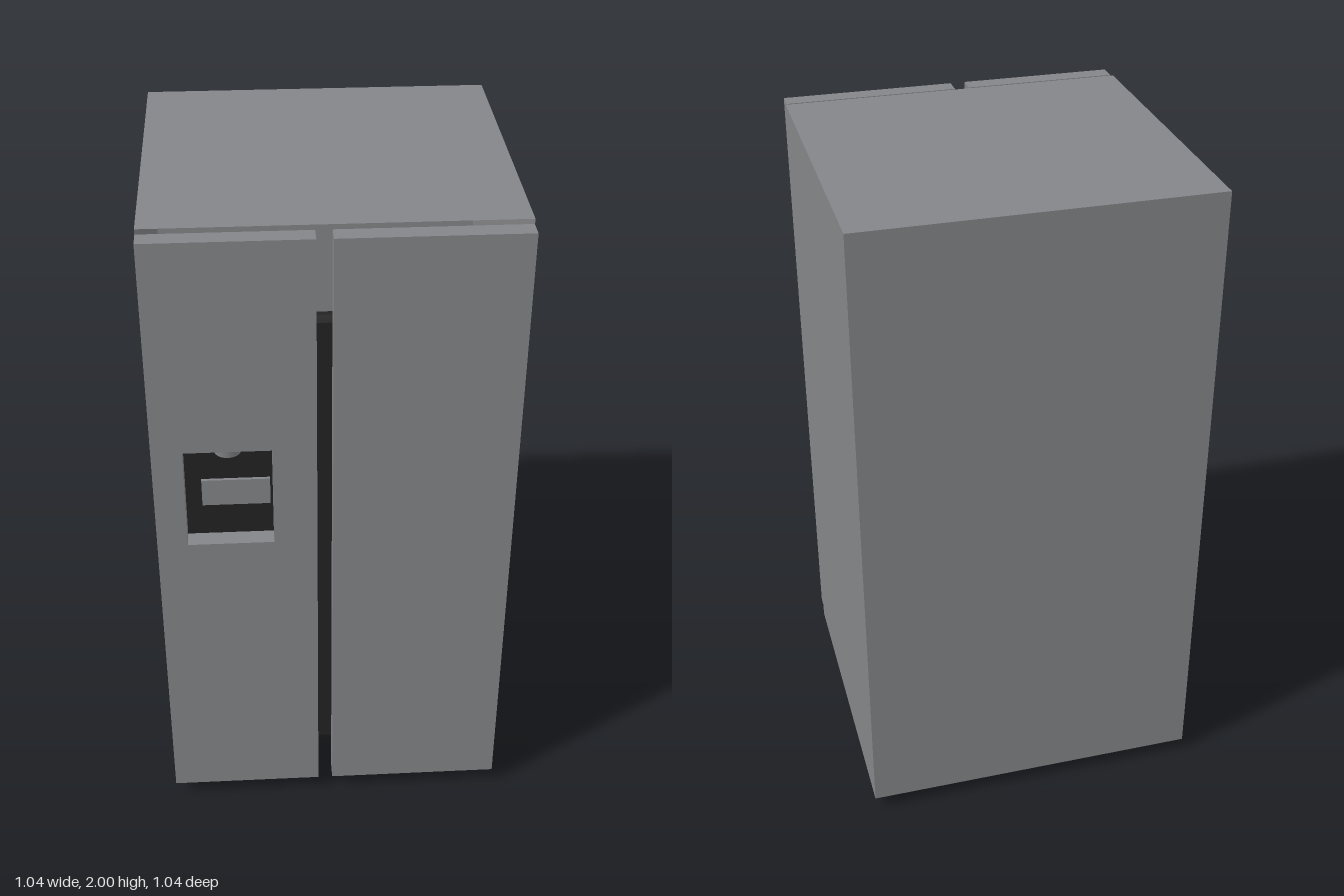
import * as THREE from 'three';

export function createModel() {
  const model = new THREE.Group();
  const grey = new THREE.MeshStandardMaterial({ color: 0x848588, side: THREE.DoubleSide });
  grey.name = 'steel grey';
  const black = new THREE.MeshStandardMaterial({ color: 0x222322 });
  black.name = 'liner black';

  const add = (name, geometry, material, parent = model) => {
    const mesh = new THREE.Mesh(geometry, material);
    mesh.name = name;
    parent.add(mesh);
    return mesh;
  };
  const rectangle = (Type, x0, x1, y0, y1) => {
    const path = new Type();
    path.moveTo(x0, y0);
    path.lineTo(x1, y0);
    path.lineTo(x1, y1);
    path.lineTo(x0, y1);
    path.closePath();
    return path;
  };

  // Cabinet shell, open at the front and underneath
  const cabinet = new THREE.Group();
  cabinet.name = 'cabinet';
  model.add(cabinet);
  const X = 0.52, bottom = 0.045, top = 2, back = -0.52, front = 0.445;
  const H = top - bottom, D = front - back;
  const midY = (top + bottom) / 2, midZ = (front + back) / 2;
  for (const side of [-1, 1]) {
    const wall = add(side < 0 ? 'rightWall' : 'leftWall', new THREE.PlaneGeometry(D, H), grey, cabinet);
    wall.rotation.y = side * Math.PI / 2;
    wall.position.set(side * X, midY, midZ);
  }
  const backWall = add('backWall', new THREE.PlaneGeometry(2 * X, H), grey, cabinet);
  backWall.rotation.y = Math.PI;
  backWall.position.set(0, midY, back);
  const roof = add('roof', new THREE.PlaneGeometry(2 * X, D), grey, cabinet);
  roof.rotation.x = -Math.PI / 2;
  roof.position.set(0, top, midZ);

  // Doors, the right one pierced for the dispenser
  const door = (name, x0, x1, hole) => {
    const shape = rectangle(THREE.Shape, x0, x1, 0.055, 1.995);
    if (hole) shape.holes.push(hole);
    const geometry = new THREE.ExtrudeGeometry(shape, { depth: 0.055, bevelEnabled: false });
    add(name, geometry, grey).position.z = 0.465;
  };
  door('rightDoor', -0.518, -0.055, rectangle(THREE.Path, -0.43, -0.18, 1.03, 1.35));
  door('leftDoor', -0.01, 0.515);

  // Black base and upright liner, one chamfered L section (z, y) swept along x
  const section = new THREE.Shape([
    [-0.325, 0], [0.29, 0], [0.305, 0.03], [0.305, 1.63], [0.295, 1.65],
    [0.275, 1.65], [0.275, 0.06], [-0.325, 0.06],
  ].map(([z, y]) => new THREE.Vector2(-z, y)));
  const liner = new THREE.ExtrudeGeometry(section, { depth: 0.84, bevelEnabled: false });
  liner.rotateY(Math.PI / 2);
  add('baseAndLiner', liner, black).position.x = -0.46;

  // Dispenser nozzle and drip tray
  add('dispenserNozzle', new THREE.CylinderGeometry(0.047, 0.039, 0.09, 24), grey)
    .position.set(-0.305, 1.345, 0.437);
  add('dripTray', new THREE.BoxGeometry(0.205, 0.09, 0.03), grey)
    .position.set(-0.2875, 1.065, 0.3);

  return model;
}
